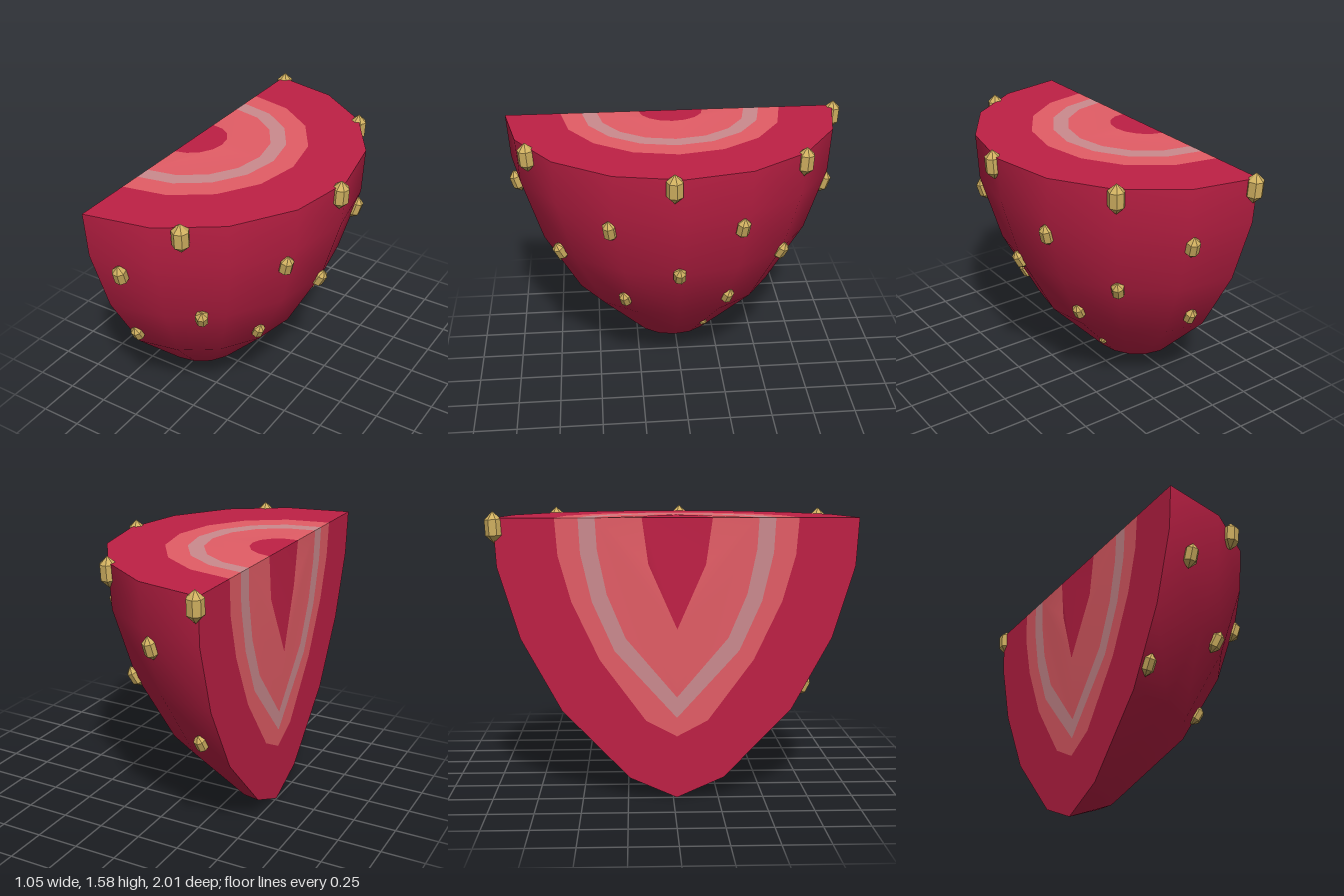
import * as THREE from 'three';

const TOP = 1.55, CX = -0.5, CZ = 0.02;
const RED = 0xbe2045, PINK = 0xe35d66, PALE = 0xcb8a8e, GOLD = 0xd0b060;

// profiles (radius, height) of the skin and the nested flesh layers, tip to rim
const skin = [[0, 0], [0.26, 0.115], [0.63, 0.5], [0.847, 0.9], [0.965, 1.29], [0.98, TOP]];
const layers = [
  { name: 'outerFlesh', color: RED, profile: skin },
  { name: 'outerPinkFlesh', color: PINK, profile: [[0, 0.35], [0.17, 0.44], [0.42, 0.78], [0.57, 1.1], [0.64, 1.35], [0.655, TOP]] },
  { name: 'paleRing', color: PALE, profile: [[0, 0.455], [0.34, 0.83], [0.46, 1.1], [0.52, 1.36], [0.53, TOP]] },
  { name: 'innerPinkFlesh', color: PINK, profile: [[0, 0.57], [0.28, 0.9], [0.38, 1.14], [0.43, 1.38], [0.44, TOP]] },
  { name: 'core', color: RED, profile: [[0, 0.95], [0.155, 1.3], [0.19, TOP]] },
];
const CORE_R = 0.19, CORE_TIP = 0.95;

function mesh(name, geometry, color, flatShading = false) {
  const m = new THREE.Mesh(geometry, new THREE.MeshStandardMaterial({ color, flatShading }));
  m.name = name;
  return m;
}

// flat band between an outer curve and an optional inner curve
function band(outer, inner) {
  const pts = inner ? [...outer, ...inner.slice().reverse()] : outer;
  return new THREE.ShapeGeometry(new THREE.Shape(pts.map(([x, y]) => new THREE.Vector2(x, y))));
}

// mirrored profile, for the vertical cut
const cutCurve = (p) => [...p.slice(1).reverse().map(([r, y]) => [-r, y]), ...p];

// half circle, for the top cut
const arcCurve = (r) => Array.from({ length: 9 }, (_, i) => {
  const a = -Math.PI / 2 + (i * Math.PI) / 8;
  return [r * Math.cos(a), r * Math.sin(a)];
});

function moveVertices(geometry, rule) {
  const p = geometry.attributes.position, v = new THREE.Vector3();
  for (let i = 0; i < p.count; i++) {
    rule(v.fromBufferAttribute(p, i));
    p.setXYZ(i, v.x, v.y, v.z);
  }
  geometry.computeVertexNormals();
  return geometry;
}

// radius and lean of the skin at a height
function skinAt(y) {
  const i = Math.max(1, skin.findIndex((p) => p[1] >= y));
  const [r0, y0] = skin[i - 1], [r1, y1] = skin[i];
  return { r: r0 + ((r1 - r0) * (y - y0)) / (y1 - y0), lean: Math.atan2(r1 - r0, y1 - y0) };
}

export function createModel() {
  const group = new THREE.Group();
  const fruit = new THREE.Group();
  fruit.name = 'fruit';
  fruit.position.set(CX, 0, CZ);
  group.add(fruit);

  // rounded outer skin
  const points = skin.map(([r, y]) => new THREE.Vector2(r, y));
  fruit.add(mesh('skin', new THREE.LatheGeometry(points, 8, 0, Math.PI), RED));

  // flesh layers on the vertical cut and on the top
  layers.forEach(({ name, color, profile }, i) => {
    const next = layers[i + 1]?.profile;
    const side = band(cutCurve(profile), next && cutCurve(next)).rotateY(-Math.PI / 2);
    moveVertices(side, (v) => {
      if (Math.abs(v.z) < 0.001 && Math.abs(v.y - CORE_TIP) < 0.001) v.x -= 0.02;
    });
    fruit.add(mesh(name + 'Side', side, color));

    const rim = (p) => arcCurve(p[p.length - 1][0]);
    const top = band(rim(profile), next && rim(next)).rotateX(-Math.PI / 2).translate(0, TOP, 0);
    moveVertices(top, (v) => {
      if (Math.abs(Math.hypot(v.x, v.z) - CORE_R) < 0.001) v.y += (0.007 * v.x) / CORE_R;
    });
    fruit.add(mesh(name + 'Top', top, color));
  });

  // faceted seeds in rows: height, size, angles around the fruit in degrees
  const seedProfile = [[0, -0.088], [0.047, -0.04], [0.047, 0.045], [0, 0.088]];
  const seedGeometry = new THREE.LatheGeometry(seedProfile.map(([r, y]) => new THREE.Vector2(r, y)), 7);
  const rows = [
    [1.497, 1, [59, 3, -45, -89]],
    [1.2, 0.82, [80, 25, -20.5, -69.5]],
    [0.895, 0.78, [54, 1, -45]],
    [0.625, 0.72, [86, 27, -24, -78]],
    [0.28, 0.4, [-24]],
  ];
  for (const [y, size, angles] of rows) {
    const { r, lean } = skinAt(y);
    for (const degrees of angles) {
      const holder = new THREE.Group();
      holder.name = 'seedHolder';
      holder.rotation.y = -THREE.MathUtils.degToRad(degrees);
      const seed = mesh('seed', seedGeometry, GOLD, true);
      seed.position.set(r, y, 0);
      seed.rotation.z = -lean;
      seed.scale.setScalar(size);
      holder.add(seed);
      fruit.add(holder);
    }
  }
  return group;
}
